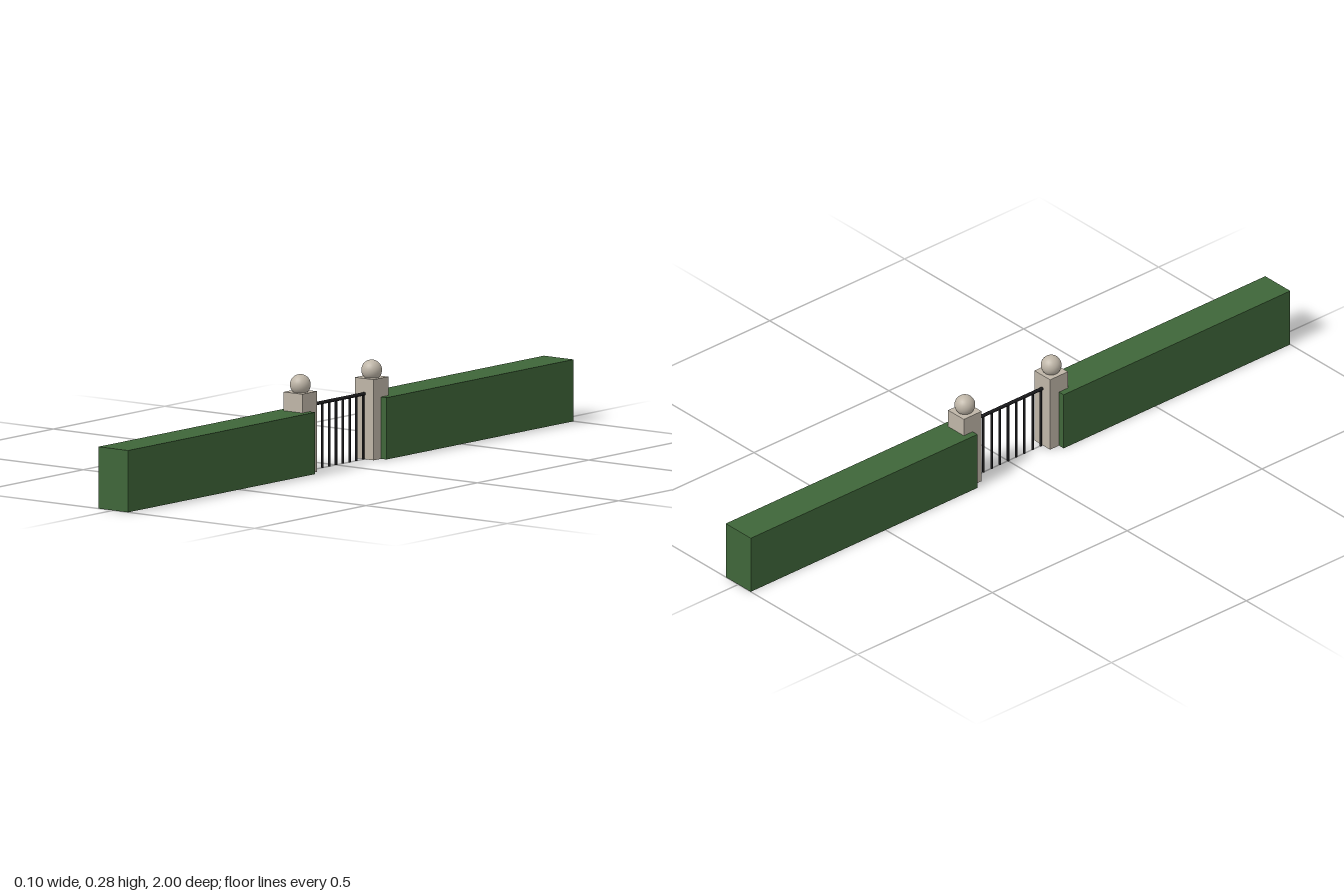
import * as THREE from 'three';

const paint = (color) => new THREE.MeshStandardMaterial({ color });

export function createModel() {
  const group = new THREE.Group();
  const leaf = paint(0x3f6639);
  const stone = paint(0xbfb6a8);
  const iron = paint(0x1c1c1e);

  const add = (parent, name, geometry, material, x, y, z) => {
    const mesh = new THREE.Mesh(geometry, material);
    mesh.name = name;
    mesh.position.set(x, y, z);
    parent.add(mesh);
    return mesh;
  };

  // Hedges and ball-topped gate posts, mirrored front to back
  const postZ = 0.16, postWidth = 0.066, postHeight = 0.227;
  const hedgeWidth = 0.105, hedgeHeight = 0.174, hedgeLength = 1 - postZ;
  const hedgeGeometry = new THREE.BoxGeometry(hedgeWidth, hedgeHeight, hedgeLength);
  const postGeometry = new THREE.BoxGeometry(postWidth, postHeight, postWidth);
  const ballGeometry = new THREE.SphereGeometry(0.029, 24, 16);
  for (const [label, side] of [['front', 1], ['back', -1]]) {
    add(group, label + 'Hedge', hedgeGeometry, leaf, 0, hedgeHeight / 2, side * (postZ + hedgeLength / 2));
    add(group, label + 'Post', postGeometry, stone, 0, postHeight / 2, side * postZ);
    add(group, label + 'PostBall', ballGeometry, stone, 0, 0.247, side * postZ);
  }

  // Iron gate: upright bars under one top rail
  const gate = new THREE.Group();
  gate.name = 'gate';
  group.add(gate);
  const railY = 0.184, barCount = 9, spacing = 0.0303;
  const barGeometry = new THREE.CylinderGeometry(0.0035, 0.0035, railY, 8);
  for (let i = 0; i < barCount; i++) {
    add(gate, 'gateBar', barGeometry, iron, 0, railY / 2, (i - (barCount - 1) / 2) * spacing);
  }
  const rail = add(gate, 'gateRail', new THREE.CylinderGeometry(0.005, 0.005, 0.256, 8), iron, 0, railY, 0);
  rail.rotation.x = Math.PI / 2;

  return group;
}
